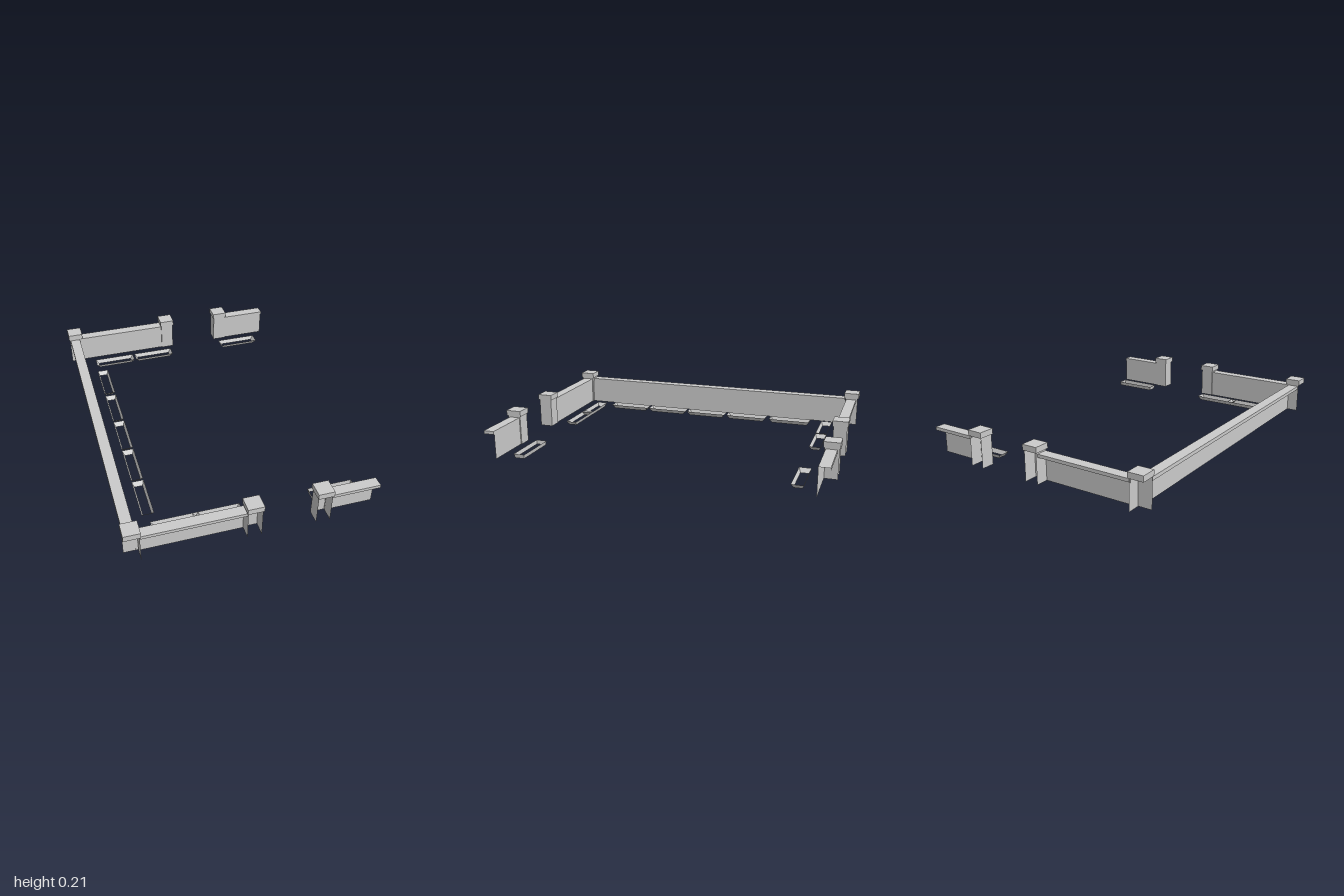
import * as THREE from 'three';
import { mergeGeometries } from 'three/addons/utils/BufferGeometryUtils.js';

const material = new THREE.MeshStandardMaterial({
  color: 0xcccccc, flatShading: true, side: THREE.DoubleSide,
});

// Flat four-cornered panel
function quad(a, b, c, d) {
  const g = new THREE.BufferGeometry();
  g.setAttribute('position', new THREE.Float32BufferAttribute([a, b, c, a, c, d].flat(), 3));
  g.computeVertexNormals();
  return g;
}

// Corners of a horizontal rectangle, counter-clockwise from above
const rect = (x0, x1, z0, z1, y) => [[x0, y, z1], [x1, y, z1], [x1, y, z0], [x0, y, z0]];

// Four side panels between two rectangles; order is front, right, back, left
function sides(low, high, keep = [0, 1, 2, 3]) {
  return keep.map((i) => {
    const j = (i + 1) % 4;
    return quad(low[i], low[j], high[j], high[i]);
  });
}

export function createModel() {
  const model = new THREE.Group();

  function add(name, panels) {
    const mesh = new THREE.Mesh(mergeGeometries(panels), material);
    mesh.name = name;
    model.add(mesh);
  }

  // Lid: a shallow box open underneath
  function lid(name, x0, x1, z0, z1, y0, y1, keep) {
    const top = rect(x0, x1, z0, z1, y1);
    add(name, [...sides(rect(x0, x1, z0, z1, y0), top, keep), quad(...top)]);
  }

  // Open-backed post with an overhanging cap
  function post(name, x, z, keep) {
    const h = 0.04;
    const r = (y) => rect(x - h, x + h, z - h, z + h, y);
    add(name, sides(r(0), r(0.18), keep));
    lid(name + 'Cap', x - 0.046, x + 0.046, z - 0.046, z + 0.046, 0.177, 0.21);
  }

  // Shallow open planting trough, tapering towards the ground
  function trough(x0, x1, z0, z1, insetX, insetZ) {
    const low = rect(x0 + insetX, x1 - insetX, z0 + insetZ, z1 - insetZ, 0);
    add('trough', sides(low, rect(x0, x1, z0, z1, 0.025)));
  }

  // Front and back rows: one panel on the inner side, coping running outwards
  for (const s of [1, -1]) {
    const row = s > 0 ? 'front' : 'back';
    const inner = s > 0 ? 2 : 0;
    const z = s * 0.954;
    post(row + 'CornerPost', -0.659, z, [1, inner]);
    for (const x of [-0.009, 0.381]) post(row + 'GatePost', x, z, [1, 3, inner]);

    const zi = s * 0.92, zo = s * 0.983;
    const [z0, z1] = [Math.min(zi, zo), Math.max(zi, zo)];
    for (const [x0, x1, xc] of [[-0.62, -0.05, -0.05], [0.42, 0.7, 0.705]]) {
      add(row + 'Wall', [quad([x0, 0, zi], [x1, 0, zi], [x1, 0.155, zi], [x0, 0.155, zi])]);
      lid(row + 'Coping', x0, xc, z0, z1, 0.149, 0.168, s > 0 ? [0, 1, 2] : [0, 2]);
    }
  }

  // Long side wall
  const xi = -0.632;
  add('sideWall', [quad([xi, 0, 0.915], [xi, 0, -0.915], [xi, 0.155, -0.915], [xi, 0.155, 0.915])]);
  lid('sideCoping', -0.695, xi, -0.91, 0.91, 0.149, 0.17, [1, 3]);

  // Troughs along the side wall
  for (const z of [-0.568, -0.273, 0.01, 0.291, 0.571]) {
    trough(-0.555, -0.485, z - 0.134, z + 0.134, 0.012, 0.02);
  }
  // Troughs along the back and front rows
  for (const x of [-0.413, -0.137, 0.488]) {
    trough(x - 0.132, x + 0.132, -0.845, -0.775, 0.02, 0.012);
  }
  for (const x of [-0.388, -0.154]) {
    trough(x - 0.134, x + 0.134, 0.765, 0.832, 0.02, 0.008);
  }
  trough(0.384, 0.65, 0.765, 0.832, 0.004, 0.004);

  return model;
}
